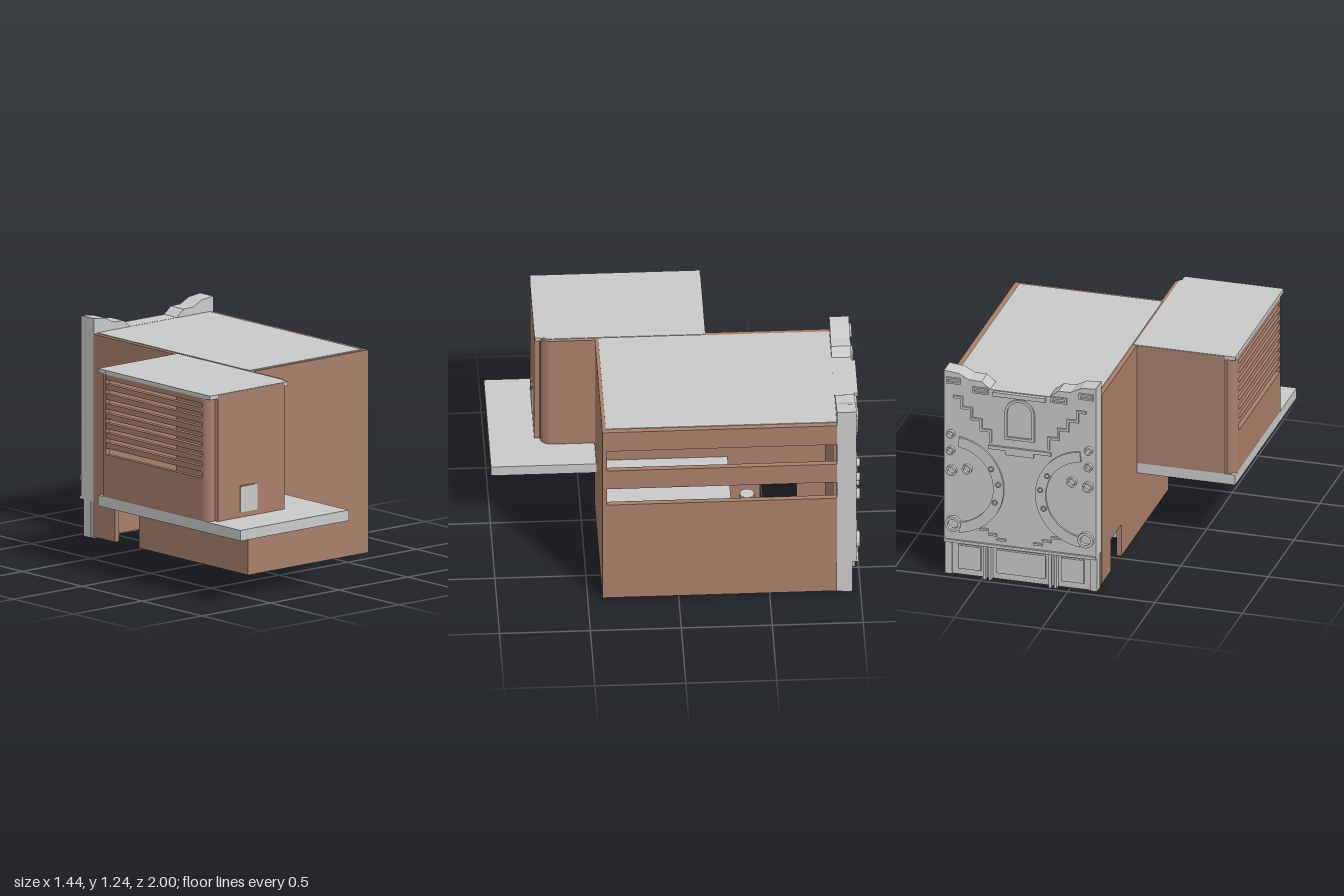
import * as THREE from 'three';

export function createModel() {
  const model = new THREE.Group();
  const brick = new THREE.MeshStandardMaterial({ color: 0xa8806c });
  brick.name = 'brown wall';
  const stone = new THREE.MeshStandardMaterial({ color: 0xcacaca });
  stone.name = 'pale grey stone';

  const add = (name, geo, mat, parent = model) => {
    const m = new THREE.Mesh(geo, mat);
    m.name = name;
    parent.add(m);
    return m;
  };
  // box given by its limits
  const box = (name, mat, x0, x1, y0, y1, z0, z1, parent) => {
    const g = new THREE.BoxGeometry(x1 - x0, y1 - y0, z1 - z0);
    g.translate((x0 + x1) / 2, (y0 + y1) / 2, (z0 + z1) / 2);
    return add(name, g, mat, parent);
  };
  // floor plan given as [x, z] points, raised from y0 to y1
  const plan = (name, mat, pts, y0, y1, parent) => {
    const s = new THREE.Shape(pts.map(([x, z]) => new THREE.Vector2(x, -z)));
    const g = new THREE.ExtrudeGeometry(s, { depth: y1 - y0, bevelEnabled: false });
    g.rotateX(-Math.PI / 2).translate(0, y0, 0);
    return add(name, g, mat, parent);
  };
  const arc = (cx, cz, r, a0, a1, n = 6) => Array.from({ length: n + 1 }, (_, i) => {
    const a = (a0 + (a1 - a0) * i / n) * Math.PI / 180;
    return [cx + r * Math.cos(a), cz + r * Math.sin(a)];
  });

  // main hall: hollow walls, open below
  const hall = new THREE.Group();
  hall.name = 'mainHall';
  model.add(hall);
  box('hallFrontWall', brick, -0.157, 0.72, 0.01, 1.15, 0.395, 0.42, hall);
  box('hallBackWall', brick, -0.13, 0.69, 0.01, 1.15, -0.87, -0.85, hall);
  for (const [y0, y1] of [[0.01, 0.65], [0.76, 0.885], [1.02, 1.15]])
    box('slottedSideWall', brick, 0.69, 0.72, y0, y1, -0.87, 0.395, hall);
  // plain side wall with a doorway
  const side = new THREE.Shape([[-0.395, 0.01], [0.49, 0.01], [0.49, 0.2], [0.69, 0.2], [0.69, 0.01],
    [0.87, 0.01], [0.87, 1.15], [-0.395, 1.15]].map(p => new THREE.Vector2(...p)));
  const sideGeo = new THREE.ExtrudeGeometry(side, { depth: 0.027, bevelEnabled: false });
  sideGeo.rotateY(Math.PI / 2).translate(-0.157, 0, 0);
  add('doorwaySideWall', sideGeo, brick, hall);
  box('hallRoof', stone, -0.13, 0.69, 1.13, 1.154, -0.87, 0.4, hall);
  box('hallFloor', stone, -0.13, 0.69, 0.28, 0.31, -0.29, 0.395, hall);
  box('innerPartition', stone, -0.13, 0.69, 0.03, 0.31, -0.31, -0.28, hall);
  const post = add('innerPost', new THREE.CylinderGeometry(0.04, 0.04, 0.24, 20), stone, hall);
  post.position.set(0.22, 0.2, -0.4);

  // raised wing on its platform
  const wing = new THREE.Group();
  wing.name = 'sideWing';
  model.add(wing);
  plan('platform', stone, [[-0.72, -0.19], [-0.15, -0.19], [-0.15, 0.421], [0.07, 0.421],
    [0.07, 1], [-0.72, 1]], 0.38, 0.44, wing);
  plan('wingWalls', brick, [
    [-0.72, -0.12], ...arc(-0.67, -0.13, 0.05, 180, 270), [-0.66, -0.19], [-0.14, -0.19],
    [-0.14, 0.42], [-0.12, 0.42], ...arc(-0.18, 0.66, 0.06, 0, 90), [-0.18, 0.75],
    [-0.665, 0.75], [-0.665, 0.74], ...arc(-0.67, 0.68, 0.05, 90, 180),
    [-0.695, 0.68], [-0.66, 0.72], [-0.21, 0.72], [-0.21, 0.66], [-0.15, 0.64],
    [-0.17, 0.42], [-0.17, -0.165], [-0.66, -0.165], [-0.695, -0.12],
  ], 0.44, 1.15, wing);
  box('wingLowerSideWall', brick, -0.72, -0.695, 0.44, 0.68, -0.12, 0.68, wing);
  // louvre slats
  for (let i = 0; i < 8; i++) {
    const y = 0.715 + i * 0.055;
    box('louvreSlat', brick, -0.718, -0.69, y, y + 0.032, -0.12, 0.68, wing);
  }
  plan('wingRoof', stone, [[-0.72, -0.188], [-0.14, -0.188], [-0.14, 0.68], [-0.152, 0.7],
    [-0.152, 0.748], [-0.72, 0.748]], 1.13, 1.153, wing);
  box('wingWindow', stone, -0.505, -0.38, 0.468, 0.615, 0.748, 0.754, wing);
  box('windowLintel', brick, -0.505, -0.4, 0.61, 0.618, 0.748, 0.757, wing);

  // ornamental back facade
  const facade = new THREE.Group();
  facade.name = 'backFacade';
  model.add(facade);
  const CX = 0.28;
  const mirror = x => 2 * CX - x;
  const half = [[0.11, 1.155], [0.08, 1.18], [0.06, 1.195], [-0.01, 1.197], [-0.07, 1.228],
    [-0.155, 1.237], [-0.155, 0.22]];
  const outline = [...half, ...half.map(([x, y]) => [mirror(x), y]).reverse()];
  const panel = new THREE.Shape(outline.map(p => new THREE.Vector2(...p)));
  add('facadePanel', new THREE.ExtrudeGeometry(panel, { depth: 0.108, bevelEnabled: false })
    .translate(0, 0, -0.978), stone, facade);

  // raised ornaments on the outer face
  const relief = (name, shape, d = 0.012) => add(name,
    new THREE.ExtrudeGeometry(shape, { depth: d + 0.004, bevelEnabled: false, curveSegments: 16 })
      .translate(0, 0, -0.978 - d), stone, facade);
  const rect = (x0, x1, y0, y1, Kind = THREE.Shape) => new Kind(
    [[x0, y0], [x1, y0], [x1, y1], [x0, y1]].map(p => new THREE.Vector2(...p)));
  const frame = (name, x0, x1, y0, y1, t) => {
    const s = rect(x0, x1, y0, y1);
    s.holes.push(rect(x0 + t, x1 - t, y0 + t, y1 - t, THREE.Path));
    relief(name, s);
  };
  const ring = (name, x, y, r, t) => {
    const s = new THREE.Shape().absarc(x, y, r, 0, Math.PI * 2);
    s.holes.push(new THREE.Path().absarc(x, y, r - t, 0, Math.PI * 2, true));
    relief(name, s, 0.02);
  };
  const arch = (Kind, w, y0, y1) => {
    const p = new Kind();
    p.moveTo(CX - w, y0).lineTo(CX + w, y0).lineTo(CX + w, y1);
    p.absarc(CX, y1, w, 0, Math.PI, false);
    return p;
  };
  const archFrame = arch(THREE.Shape, 0.085, 0.87, 1.03);
  archFrame.holes.push(arch(THREE.Path, 0.07, 0.885, 1.03));
  relief('archFrame', archFrame);
  relief('cornice', rect(0.1, 0.46, 0.8, 0.82));
  relief('corniceCentre', rect(0.2, 0.36, 0.775, 0.8));

  for (const f of [x => x, mirror]) {
    const span = (a, b) => [Math.min(f(a), f(b)), Math.max(f(a), f(b))];
    frame('topSlot', ...span(-0.14, -0.06), 1.165, 1.2, 0.01);
    frame('topSlot', ...span(0.01, 0.1), 1.125, 1.16, 0.01);
    // stair-like mouldings
    for (let i = 0; i < 4; i++) {
      const x = -0.1 + i * 0.055, y = 1.08 - i * 0.06;
      relief('stepTread', rect(...span(x, x + 0.055), y, y + 0.014));
      relief('stepRiser', rect(...span(x + 0.042, x + 0.055), y - 0.06, y));
    }
    for (let i = 0; i < 3; i++)
      relief('lowerStep', rect(...span(0.05 + i * 0.05, 0.1 + i * 0.05), 0.3 - i * 0.025, 0.312 - i * 0.025));
    // large curved band
    const a0 = f(0) === 0 ? -1.45 : Math.PI - 1.45;
    const band = new THREE.Shape();
    band.absarc(f(-0.1), 0.56, 0.29, a0, a0 + 2.9, false);
    band.absarc(f(-0.1), 0.56, 0.23, a0 + 2.9, a0, true);
    relief('curvedBand', band);
    for (const [x, y, r] of [[-0.115, 0.86, 0.024], [-0.115, 0.76, 0.024], [-0.11, 0.64, 0.03],
      [-0.02, 0.66, 0.028], [-0.1, 0.32, 0.045], [0.12, 0.68, 0.016], [0.16, 0.59, 0.016], [0.14, 0.48, 0.016]])
      ring('rosette', f(x), y, r, r * 0.35);
    // base pilasters, end blocks and side panels
    box('pilaster', stone, ...span(0.07, 0.085), 0, 0.21, -0.98, -0.94, facade);
    box('pilaster', stone, ...span(0.1, 0.115), 0, 0.21, -0.98, -0.94, facade);
    box('sidePanel', stone, ...span(-0.08, 0.05), 0.04, 0.18, -0.96, -0.94, facade);
    box('endPilaster', stone, ...span(-0.155, -0.115), 0, 0.22, -0.955, -0.9, facade);
  }
  box('facadeBase', stone, -0.15, 0.71, 0, 0.22, -0.945, -0.87, facade);
  box('centrePanel', stone, 0.14, 0.42, 0.04, 0.18, -0.96, -0.94, facade);
  box('baseLedge', stone, -0.155, 0.715, 0.205, 0.222, -0.99, -0.87, facade);
  box('topLedge', stone, 0.13, 0.43, 1.125, 1.15, -1.0, -0.97, facade);

  return model;
}
